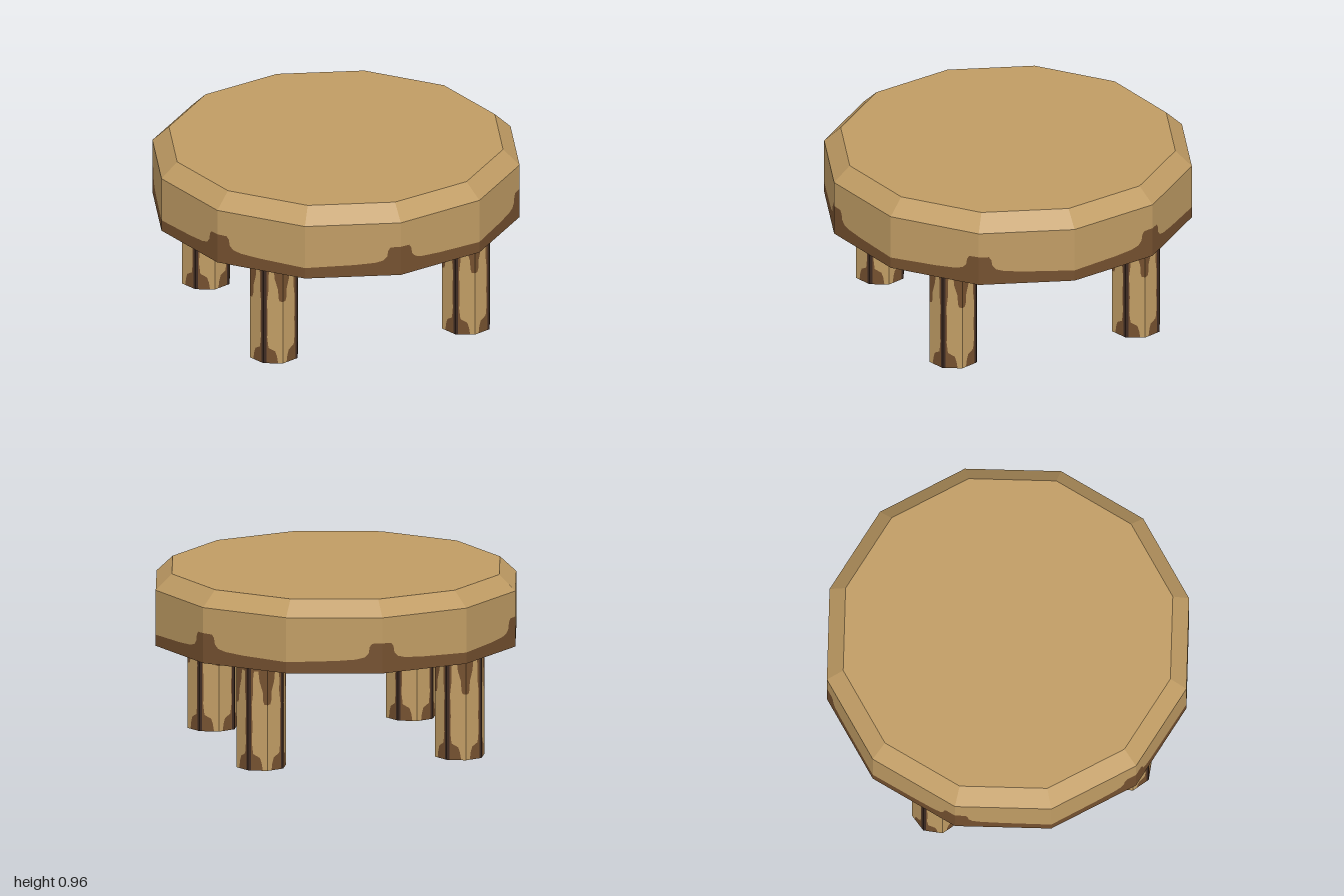
import * as THREE from 'three';
import { mergeGeometries } from 'three/addons/utils/BufferGeometryUtils.js';

const flat = (name, color) => {
  const m = new THREE.MeshStandardMaterial({ color, flatShading: true });
  m.name = name;
  return m;
};

// Prism wall: one outline (u, y) per facet, mirrored on every second facet so
// that the outlines meet at the corners. u = 0 lies on the even corners.
function wall(outline, sides, radius) {
  const length = 2 * radius * Math.sin(Math.PI / sides);
  const apothem = radius * Math.cos(Math.PI / sides);
  const facets = [];
  for (let k = 0; k < sides; k++) {
    const points = outline.map(([u, y]) =>
      new THREE.Vector2((k % 2 ? -1 : 1) * (u - length / 2), y));
    const facet = new THREE.ShapeGeometry(new THREE.Shape(points));
    facet.translate(0, 0, apothem);
    facet.rotateY((k + 0.5) * 2 * Math.PI / sides);
    facets.push(facet);
  }
  return mergeGeometries(facets);
}

// Flat end disc facing up or down
function disc(radius, sides, y, up) {
  const g = new THREE.CircleGeometry(radius, sides);
  g.rotateX(up ? -Math.PI / 2 : Math.PI / 2);
  g.translate(0, y, 0);
  return g;
}

export function createModel() {
  const wood = flat('light wood', 0xc09c64);
  const bark = flat('brown bark', 0x74502f);
  const crack = flat('dark bark crack', 0x3d2a21);

  const add = (parent, name, geometry, material) => {
    const mesh = new THREE.Mesh(geometry, material);
    mesh.name = name;
    parent.add(mesh);
  };

  const model = new THREE.Group();
  model.name = 'roundTable';

  // Table top
  const under = 0.575, rim = 0.88, top = 0.965;
  const side = 2 * Math.sin(Math.PI / 12);
  const barkEdge = [[0, 0.74], [0.055, 0.738], [0.068, 0.72], [0.074, 0.685],
    [0.095, 0.663], [0.14, 0.651], [0.25, 0.643], [side, 0.636]];
  const tableTop = new THREE.Group();
  tableTop.name = 'tableTop';
  model.add(tableTop);

  const bevel = new THREE.CylinderGeometry(0.91, 1, top - rim, 12, 1, true);
  bevel.translate(0, (top + rim) / 2, 0);
  add(tableTop, 'bevel', bevel, wood);
  add(tableTop, 'topSurface', disc(0.91, 12, top, true), wood);
  add(tableTop, 'underside', disc(1, 12, under, false), wood);
  add(tableTop, 'rimWood', wall([...barkEdge, [side, rim], [0, rim]], 12, 1), wood);
  add(tableTop, 'rimBark', wall([...barkEdge, [side, under], [0, under]], 12, 1), bark);

  // Leg surfaces: a wood patch on each facet, bark around it, cracks on the diagonals
  const r = 0.1375;
  const legSide = 2 * r * Math.sin(Math.PI / 8);
  const crackStart = 0.09;
  const patchEdge = [[0, 0.36], [0.018, 0.363], [0.025, 0.385], [0.026, 0.43],
    [0.044, 0.49], [0.05, 0.545], [0.074, 0.545], [0.079, 0.5], [0.078, 0.43],
    [0.086, 0.36], [0.082, 0.24], [0.085, 0.15], [0.078, 0.09], [0.06, 0.08],
    [0.042, 0.07], [0.032, 0.04], [0.026, 0]];
  const patch = wall([...patchEdge, [0, 0]], 8, r);
  const border = wall([...patchEdge, [crackStart, 0], [crackStart, under], [0, under]], 8, r);
  const cracks = wall([[crackStart, 0], [legSide, 0], [legSide, under], [crackStart, under]], 8, r);
  const foot = disc(r, 8, 0, false);

  for (const sz of [1, -1]) {
    for (const sx of [1, -1]) {
      const leg = new THREE.Group();
      leg.name = (sz > 0 ? 'front' : 'back') + (sx > 0 ? 'Left' : 'Right') + 'Leg';
      leg.position.set(sx * 0.55, 0, sz * 0.525);
      add(leg, 'legWood', patch, wood);
      add(leg, 'legBark', border, bark);
      add(leg, 'legCracks', cracks, crack);
      add(leg, 'legFoot', foot, wood);
      model.add(leg);
    }
  }
  return model;
}
